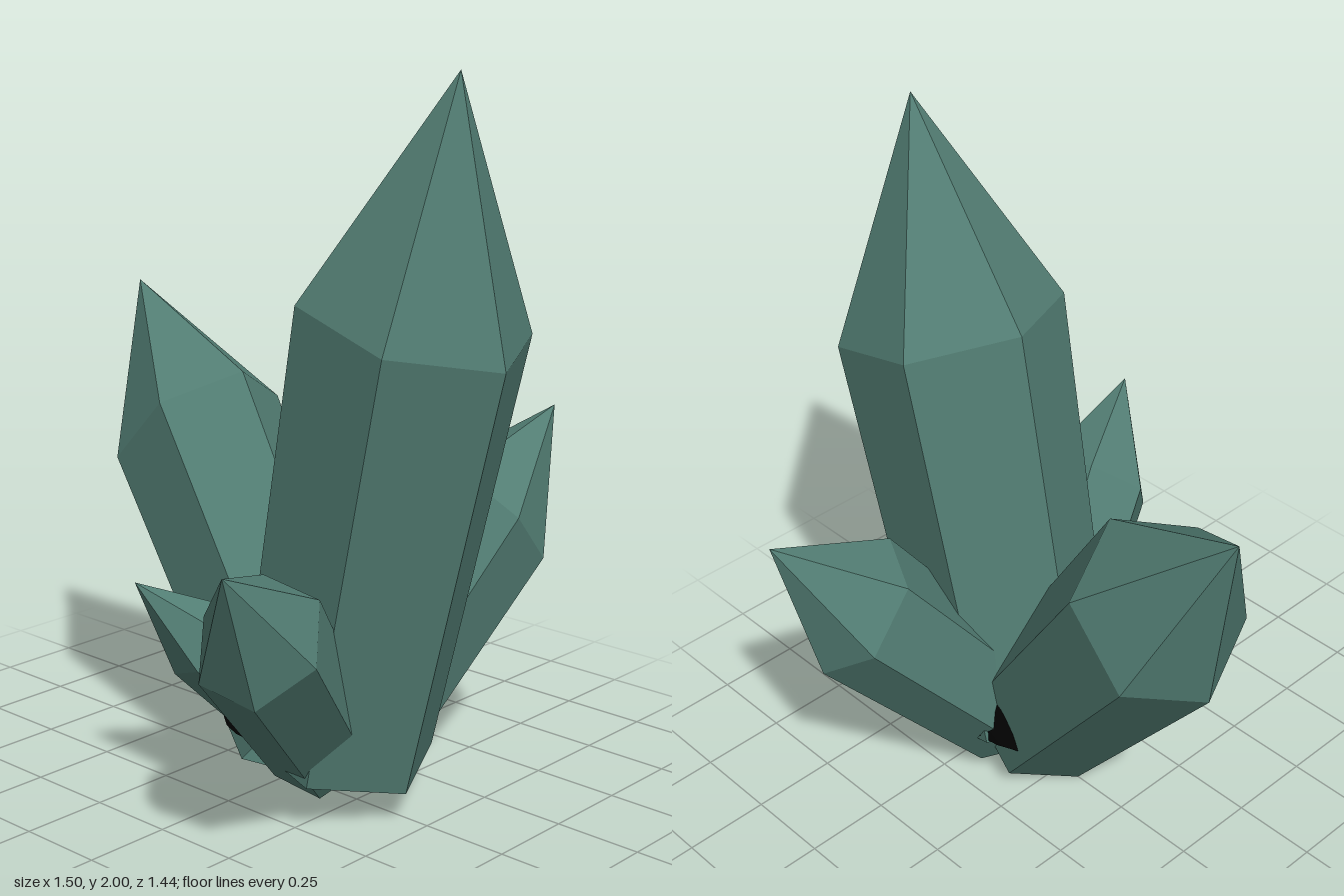
import * as THREE from 'three';

const crystalMat = new THREE.MeshStandardMaterial({ color: 0x527d73, flatShading: true, side: THREE.DoubleSide });
crystalMat.name = 'crystalGreen';
const rockMat = new THREE.MeshStandardMaterial({ color: 0x020202 });
rockMat.name = 'rockBlack';

const V = (a) => new THREE.Vector3(...a);

// Hexagonal crystal, open underneath: a shaft widening from base to shoulder, then a point.
// u and w are two neighbouring corners of the shoulder, relative to its centre.
function makeCrystal({ name, base, shoulder, tip, u, w, taper = 0.87 }) {
  const b = V(base), s = V(shoulder), t = V(tip);
  let p = V(u), q = V(w);
  if (p.clone().cross(q).dot(s.clone().sub(b)) < 0) [p, q] = [q, p];
  const r = q.clone().sub(p);
  const spokes = [p, q, r, p.clone().negate(), q.clone().negate(), r.clone().negate()];
  const top = spokes.map((d) => s.clone().add(d));
  const low = spokes.map((d) => b.clone().addScaledVector(d, taper));
  const points = [];
  for (let i = 0; i < 6; i++) {
    const j = (i + 1) % 6;
    points.push(low[i], low[j], top[j], low[i], top[j], top[i]); // shaft
    points.push(top[i], top[j], t); // point
  }
  const geometry = new THREE.BufferGeometry().setFromPoints(points);
  geometry.computeVertexNormals();
  const mesh = new THREE.Mesh(geometry, crystalMat);
  mesh.name = name;
  return mesh;
}

const crystals = [
  { name: 'tallCrystal', base: [0.185, 0.168, 0.012], shoulder: [0.439, 1.37, 0.007], tip: [0.572, 2, 0.01],
    u: [0.308, -0.09, 0.025], w: [0.135, -0.04, 0.288] },
  { name: 'rightLeaningCrystal', base: [0.095, 0.169, 0.005], shoulder: [-0.46, 0.925, -0.097], tip: [-0.75, 1.318, -0.145],
    u: [0.19, 0.192, 0.007], w: [0.07, 0.117, 0.217] },
  { name: 'backCrystal', base: [0.175, 0.168, -0.055], shoulder: [0.298, 0.728, -0.497], tip: [0.357, 1.013, -0.722],
    u: [0.015, 0.15, 0.142], w: [0.17, 0.035, 0.082] },
  { name: 'frontCrystal', base: [0.185, 0.172, 0.07], shoulder: [0.364, 0.62, 0.502], tip: [0.452, 0.855, 0.718],
    u: [0.164, -0.037, -0.03], w: [0.09, 0.1, -0.123] },
  { name: 'smallCrystal', base: [0.078, 0.18, 0.05], shoulder: [-0.053, 0.458, 0.27], tip: [-0.17, 0.637, 0.427],
    u: [-0.117, -0.043, -0.027], w: [-0.055, -0.087, 0.074] },
];

export function createModel() {
  const group = new THREE.Group();
  group.name = 'crystalCluster';
  for (const spec of crystals) group.add(makeCrystal(spec));

  // Dark rock dome joining the crystals, with a flat underside
  const rock = new THREE.Group();
  rock.name = 'rockBase';
  const dome = new THREE.Mesh(new THREE.SphereGeometry(0.25, 24, 8, 0, Math.PI * 2, 0, Math.PI / 2), rockMat);
  dome.name = 'rockDome';
  dome.scale.y = 1.08;
  const underside = new THREE.Mesh(new THREE.CircleGeometry(0.25, 24), rockMat);
  underside.name = 'rockUnderside';
  underside.rotation.x = Math.PI / 2;
  rock.add(dome, underside);
  rock.position.set(0.1, 0.21, 0.012);
  group.add(rock);
  return group;
}
